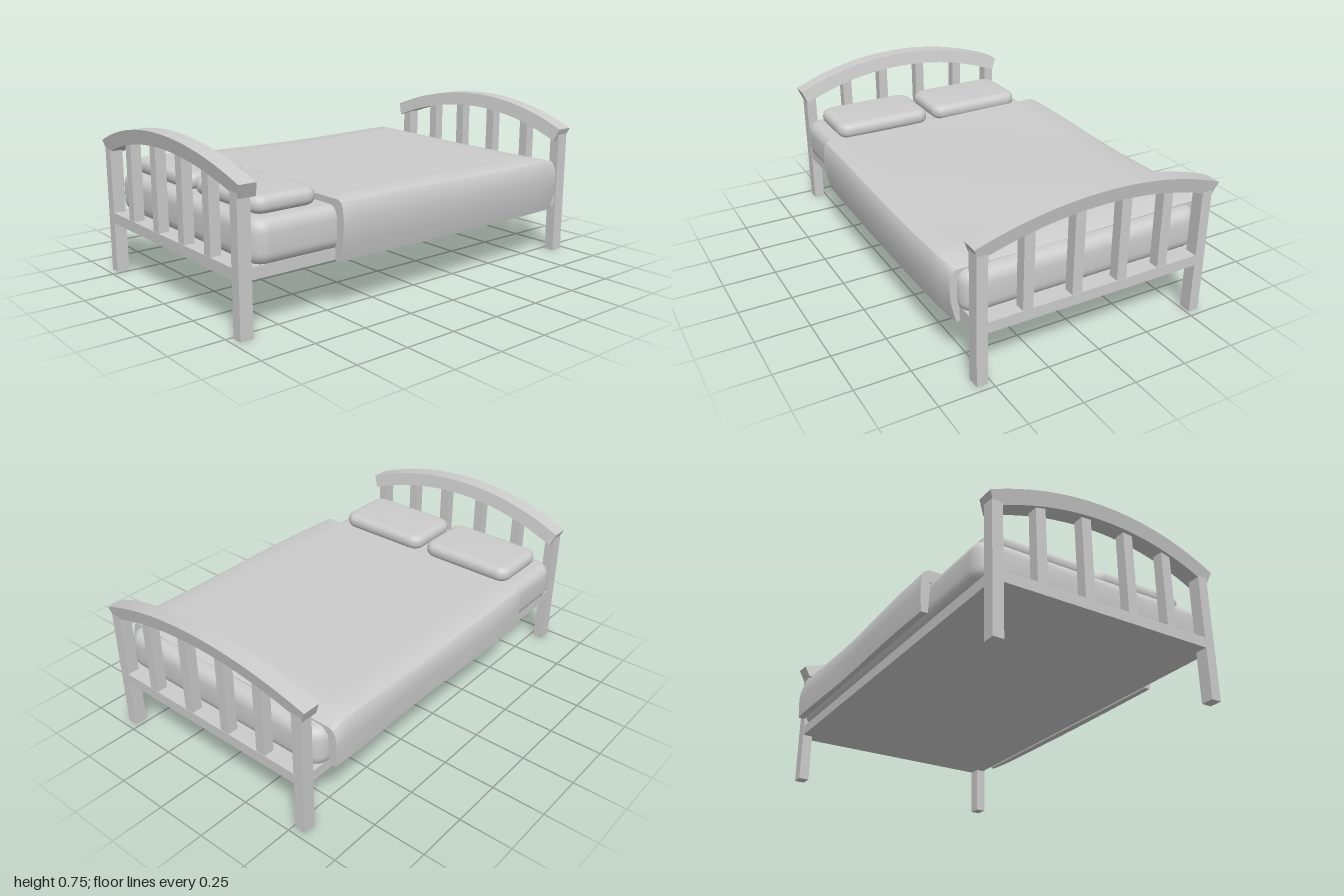
import * as THREE from 'three';
import { toCreasedNormals } from 'three/addons/utils/BufferGeometryUtils.js';

const material = new THREE.MeshStandardMaterial({ color: 0xcccccc });

function add(parent, name, geometry) {
  const mesh = new THREE.Mesh(geometry, material);
  mesh.name = name;
  parent.add(mesh);
  return mesh;
}

// Box given by its limits on each axis
function box(x0, x1, y0, y1, z0, z1) {
  return new THREE.BoxGeometry(x1 - x0, y1 - y0, z1 - z0)
    .translate((x0 + x1) / 2, (y0 + y1) / 2, (z0 + z1) / 2);
}

// Move every vertex by a rule
function deform(geometry, rule) {
  const p = geometry.attributes.position;
  const v = new THREE.Vector3();
  for (let i = 0; i < p.count; i++) {
    rule(v.fromBufferAttribute(p, i));
    p.setXYZ(i, v.x, v.y, v.z);
  }
  geometry.computeVertexNormals();
  return geometry;
}

// Soft slab: rounded rectangle in plan with a rounded rim, standing on y = 0
function cushion(w, h, d, corner, rim, rimHeight) {
  const x = w / 2 - rim, y = d / 2 - rim, r = corner;
  const s = new THREE.Shape();
  s.absarc(x - r, y - r, r, 0, Math.PI / 2);
  s.absarc(-x + r, y - r, r, Math.PI / 2, Math.PI);
  s.absarc(-x + r, -y + r, r, Math.PI, Math.PI * 1.5);
  s.absarc(x - r, -y + r, r, Math.PI * 1.5, Math.PI * 2);
  const g = new THREE.ExtrudeGeometry(s, {
    depth: h - 2 * rimHeight, bevelSize: rim, bevelThickness: rimHeight,
    bevelSegments: 5, curveSegments: 5,
  });
  g.rotateX(-Math.PI / 2).translate(0, rimHeight, 0);
  return toCreasedNormals(g, 0.7);
}

// Curved top rail, leaning outward as it rises
const ARC_Y = -0.8, OUTER = 1.545, INNER = 1.48;
function archGeometry() {
  const a = 0.388, mid = Math.PI / 2;
  const s = new THREE.Shape();
  s.absarc(0, ARC_Y, OUTER, mid - a, mid + a, false);
  s.absarc(0, ARC_Y, INNER, mid + a, mid - a, true);
  const g = new THREE.ExtrudeGeometry(s, { depth: 0.08, bevelEnabled: false, curveSegments: 20 });
  g.rotateY(Math.PI / 2).translate(0.885, 0, -0.005);
  deform(g, v => { v.x += 0.2 * (v.y - 0.57); });
  return toCreasedNormals(g, 0.5);
}

// One end of the bed: two posts, four slats and the arch
function endBoard(name) {
  const board = new THREE.Group();
  board.name = name;
  for (const z of [0.5425, -0.5375]) {
    add(board, 'post', box(0.91, 0.97, 0, 0.6, z - 0.025, z + 0.025));
  }
  for (const z of [0.335, 0.103, -0.118, -0.328]) {
    const top = ARC_Y + Math.sqrt(INNER * INNER - z * z) + 0.015;
    add(board, 'slat', box(0.917, 0.967, 0.28, top, z - 0.024, z + 0.024));
  }
  add(board, 'archRail', archGeometry());
  return board;
}

// Blanket: a cross-section draped over the mattress, run along x and gently rumpled
function blanketGeometry() {
  const outline = [[0.6, 0.24], [0.622, 0.33], [0.627, 0.41], [0.62, 0.47], [0.608, 0.492]];
  for (let i = 0; i <= 12; i++) outline.push([0.585 - i * 0.0975, 0.502]);
  outline.push([-0.612, 0.492], [-0.625, 0.47], [-0.63, 0.4], [-0.625, 0.3],
    [-0.59, 0.3], [-0.58, 0.45], [0.57, 0.45], [0.572, 0.24]);
  const s = new THREE.Shape(outline.map(([z, y]) => new THREE.Vector2(-z, y)));
  const g = new THREE.ExtrudeGeometry(s, { depth: 1.35, steps: 18, bevelEnabled: false });
  g.rotateY(Math.PI / 2).translate(-0.51, 0, 0);
  deform(g, v => {
    const { x, y, z } = v;
    const foot = Math.max(0, (x - 0.74) / 0.1);
    if (y > 0.46) {
      v.y += 0.004 * Math.sin(5 * x + 4 * z) - 0.025 * foot * foot;
    }
    if (z > 0.595) v.z += 0.008 * Math.sin((x + 0.51) * 2.3) - 0.012 * foot;
    if (z < -0.6) v.z += 0.004 * (1 + Math.sin(6 * x)) + 0.004 * foot;
  });
  return toCreasedNormals(g, 0.6);
}

export function createModel() {
  const bed = new THREE.Group();
  bed.name = 'bed';

  // Frame and end boards
  add(bed, 'bedBase', box(-0.969, 0.969, 0.24, 0.29, -0.56, 0.56));
  bed.add(endBoard('footboard'));
  const head = endBoard('headboard');
  head.rotation.y = Math.PI;
  bed.add(head);

  // Bedding
  add(bed, 'mattress', cushion(1.81, 0.187, 1.165, 0.03, 0.045, 0.055)).position.y = 0.285;
  add(bed, 'blanket', blanketGeometry());
  for (const z of [0.267, -0.265]) {
    add(bed, 'pillow', cushion(0.315, 0.076, 0.495, 0.025, 0.035, 0.033)).position.set(-0.698, 0.47, z);
  }
  return bed;
}
